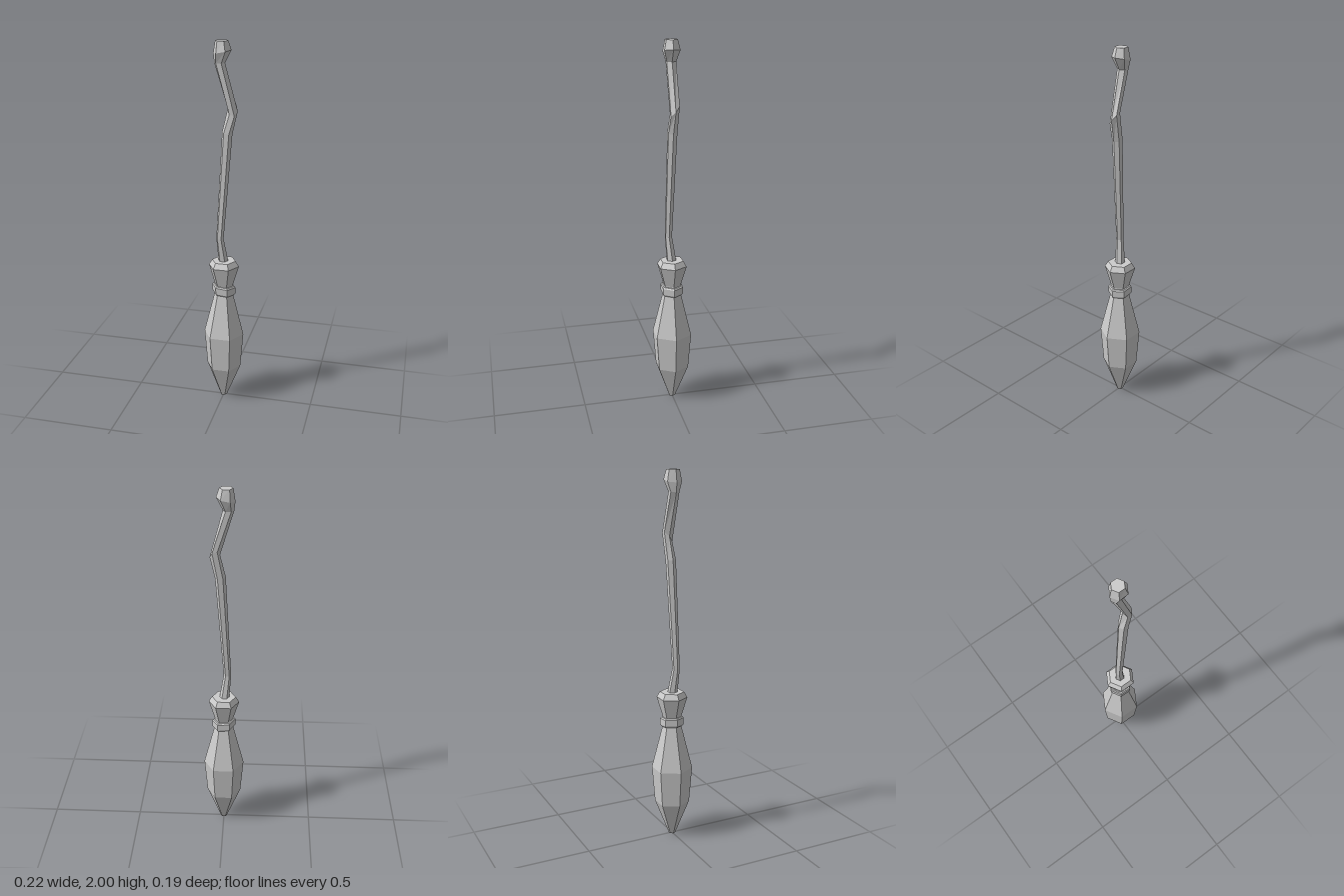
import * as THREE from 'three';

const SIDES = 6;

// Capped six-sided loft; each ring is [x, y, z, radius, slopeX, slopeZ]
function loft(name, rings, material) {
  const pos = [], idx = [];
  for (const [x, y, z, r, sx = 0, sz = 0] of rings) {
    for (let i = 0; i < SIDES; i++) {
      const a = (i / SIDES) * Math.PI * 2;
      const dx = Math.cos(a) * r, dz = Math.sin(a) * r;
      pos.push(x + dx, y + dx * sx + dz * sz, z + dz);
    }
  }
  for (let k = 0; k < rings.length - 1; k++) {
    for (let i = 0; i < SIDES; i++) {
      const a = k * SIDES + i, b = k * SIDES + (i + 1) % SIDES;
      idx.push(a, a + SIDES, b, b, a + SIDES, b + SIDES);
    }
  }
  const top = (rings.length - 1) * SIDES;
  for (let i = 1; i < SIDES - 1; i++) {
    idx.push(0, i, i + 1);
    idx.push(top, top + i + 1, top + i);
  }
  const geo = new THREE.BufferGeometry();
  geo.setAttribute('position', new THREE.Float32BufferAttribute(pos, 3));
  geo.setIndex(idx);
  const flat = geo.toNonIndexed();
  flat.computeVertexNormals();
  const mesh = new THREE.Mesh(flat, material);
  mesh.name = name;
  return mesh;
}

export function createModel() {
  const group = new THREE.Group();
  group.name = 'broom';
  const material = new THREE.MeshStandardMaterial({ color: 0xcccccc, flatShading: true });

  // Bundle of bristles, pinched at the binding and flared above it
  group.add(loft('bristles', [
    [0, 0, 0, 0.018],
    [0, 0.195, 0, 0.095],
    [0, 0.395, 0, 0.111],
    [0, 0.64, 0, 0.05],
    [0, 0.69, 0, 0.05],
    [0, 0.8, 0, 0.083],
    [0, 0.83, 0, 0.065],
  ], material));

  // Binding strap, slightly tilted
  group.add(loft('binding', [
    [0, 0.636, 0, 0.058, -0.1],
    [0, 0.645, 0, 0.064, -0.1],
    [0, 0.68, 0, 0.064, -0.1],
    [0, 0.687, 0, 0.058, -0.1],
  ], material));

  // Crooked stick with a knob at the top
  group.add(loft('handle', [
    [0.003, 0.78, -0.003, 0.029],
    [-0.018, 0.96, 0.015, 0.02],
    [0.018, 1.535, 0.002, 0.027, -0.2],
    [0.045, 1.655, -0.005, 0.026, -0.25, -1.1],
    [-0.022, 1.89, 0, 0.028],
    [-0.008, 1.945, 0, 0.047, 0.2],
    [-0.011, 2, 0, 0.034],
  ], material));

  return group;
}
